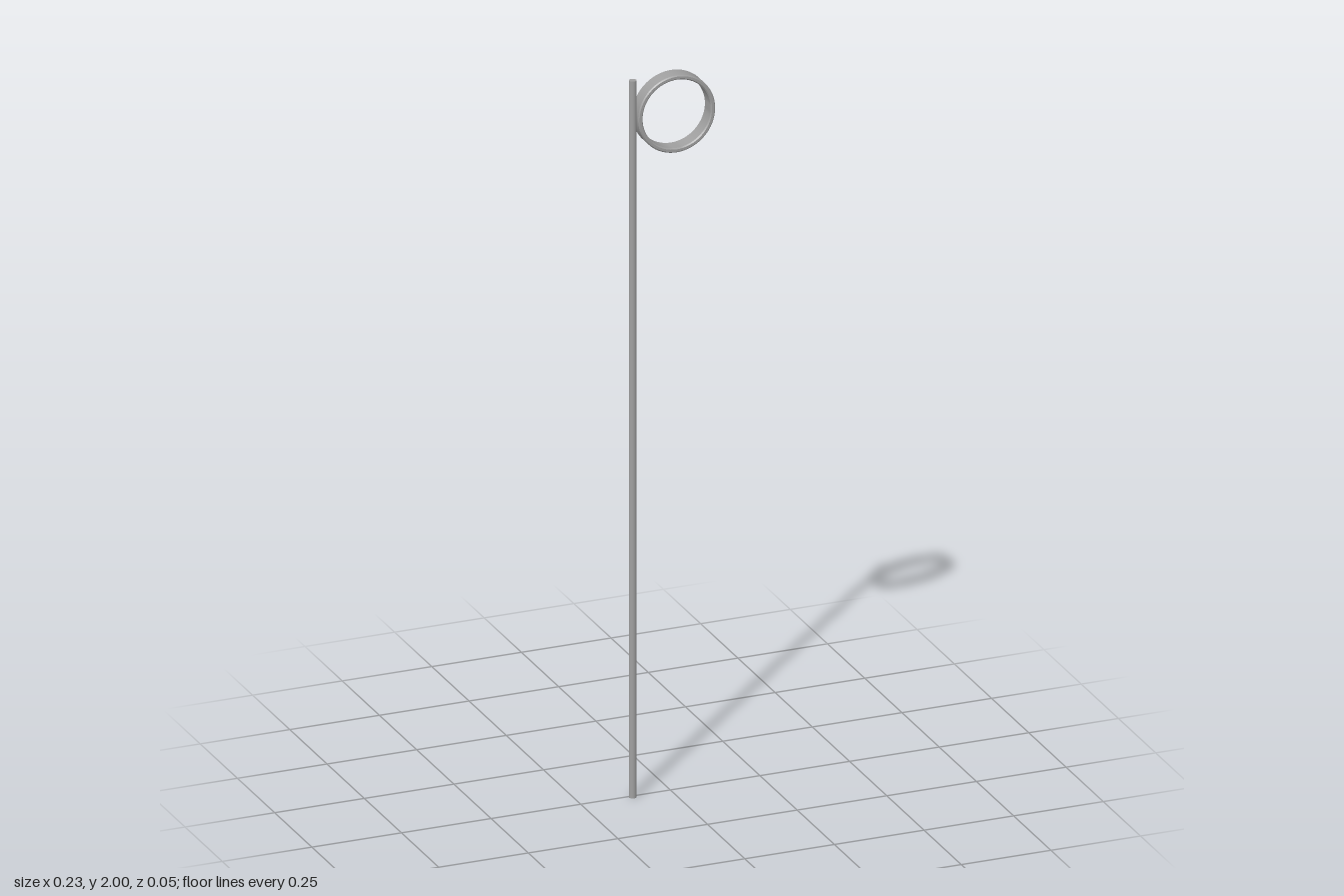
import * as THREE from 'three';
import { toCreasedNormals } from 'three/addons/utils/BufferGeometryUtils.js';

export function createModel() {
  const group = new THREE.Group();
  const grey = new THREE.MeshStandardMaterial({ color: 0xa0a0a0 });
  grey.name = 'grey';

  // Slim upright pole
  const pole = new THREE.Mesh(new THREE.CylinderGeometry(0.01, 0.01, 2, 24), grey);
  pole.name = 'pole';
  pole.position.set(-0.108, 1, 0.007);
  group.add(pole);

  // Hoop: a flat band with chamfered rims, turned to face the front
  const outer = 0.1075, inner = 0.095, half = 0.0225, bevel = 0.003;
  const profile = [
    [outer, -half + bevel], [outer, half - bevel],
    [outer - bevel, half], [inner + bevel, half],
    [inner, half - bevel], [inner, -half + bevel],
    [inner + bevel, -half], [outer - bevel, -half],
    [outer, -half + bevel],
  ].map(([r, y]) => new THREE.Vector2(r, y));
  const band = toCreasedNormals(new THREE.LatheGeometry(profile, 64), 0.5);
  band.rotateX(Math.PI / 2);
  const hoop = new THREE.Mesh(band, grey);
  hoop.name = 'hoop';
  hoop.position.set(0.0095, 1.8925, 0);
  group.add(hoop);

  return group;
}
